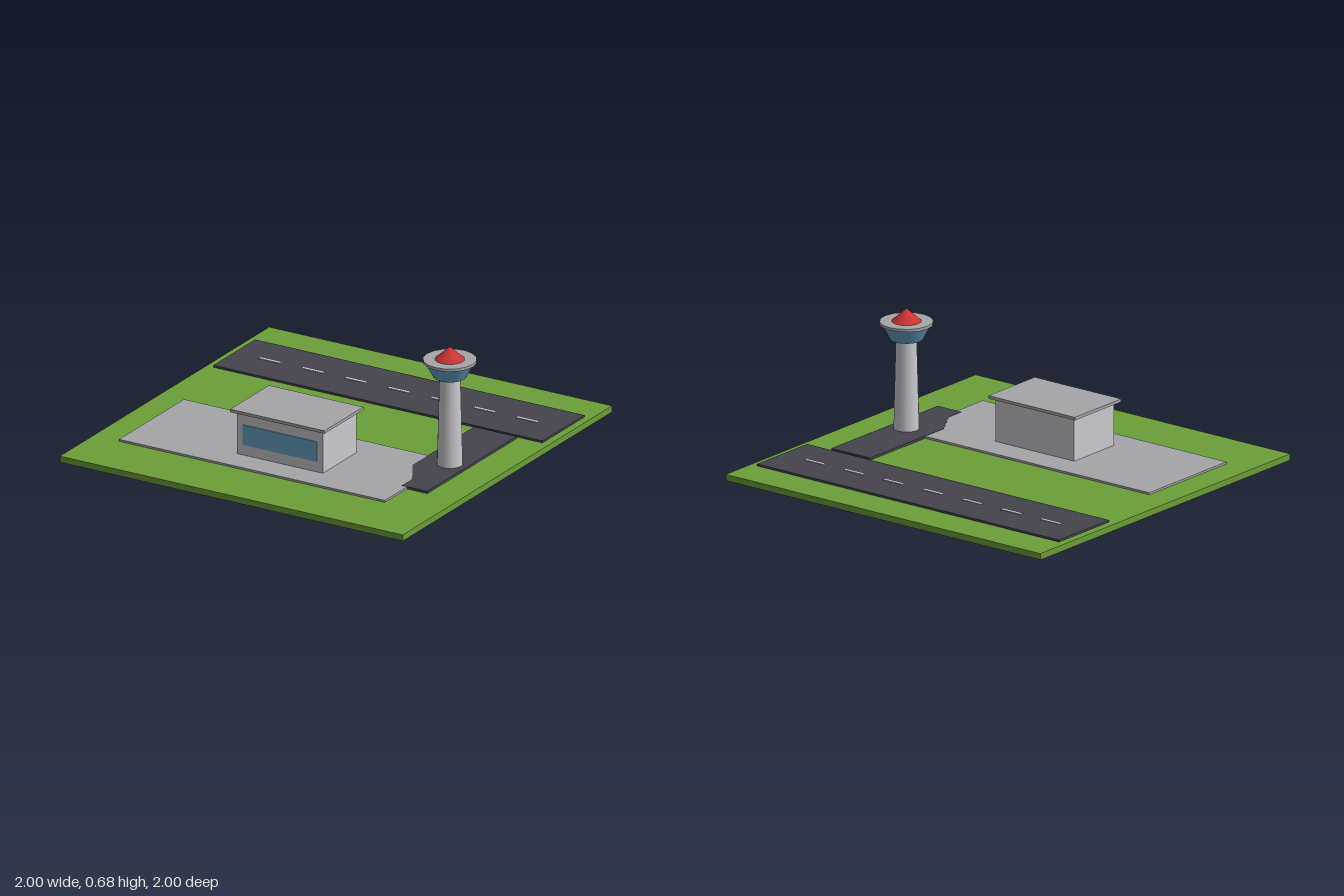
import * as THREE from 'three';

const mat = (name, color, extra = {}) => {
  const m = new THREE.MeshStandardMaterial({ color, ...extra });
  m.name = name;
  return m;
};

export function createModel() {
  const grass = mat('grass green', 0x6c9f38);
  const asphalt = mat('asphalt', 0x45444d);
  const concrete = mat('concrete grey', 0xa6a6a9);
  const wall = mat('wall light grey', 0xcbcbd0);
  const paint = mat('paint white', 0xd8d8da);
  const glass = mat('glass blue', 0x69a6c8);
  const red = mat('roof red', 0xcc3333);

  const airfield = new THREE.Group();
  airfield.name = 'airfield';
  const add = (parent, name, geometry, material, x = 0, y = 0, z = 0) => {
    const mesh = new THREE.Mesh(geometry, material);
    mesh.name = name;
    mesh.position.set(x, y, z);
    parent.add(mesh);
    return mesh;
  };
  // Box given by its x, y and z ranges
  const box = (parent, name, material, [x0, x1], [y0, y1], [z0, z1]) =>
    add(parent, name, new THREE.BoxGeometry(x1 - x0, y1 - y0, z1 - z0), material,
      (x0 + x1) / 2, (y0 + y1) / 2, (z0 + z1) / 2);

  // Ground and paving
  const ground = 0.033, paved = 0.044;
  box(airfield, 'ground', grass, [-1, 1], [0, ground], [-1, 1]);
  box(airfield, 'runway', asphalt, [-0.96, 0.96], [ground, paved], [-0.8, -0.4]);
  box(airfield, 'apron', concrete, [-0.85, 0.7], [ground, paved], [0.06, 0.68]);

  // Taxiway, its corner cut back where it meets the apron
  const outline = new THREE.Shape([
    [0.575, -0.38], [0.82, -0.38], [0.82, 0.47], [0.67, 0.47], [0.67, 0.37], [0.575, 0.21],
  ].map(([x, z]) => new THREE.Vector2(x, -z)));
  const taxiway = add(airfield, 'taxiway',
    new THREE.ExtrudeGeometry(outline, { depth: 0.0125, bevelEnabled: false }), asphalt, 0, ground, 0);
  taxiway.rotation.x = -Math.PI / 2;

  // Runway centre line
  for (let i = -3; i <= 3; i++) {
    const x = i * 0.25;
    box(airfield, 'runwayDash', paint, [x - 0.0625, x + 0.0625], [paved, 0.048], [-0.61, -0.59]);
  }

  // Terminal
  const terminal = new THREE.Group();
  terminal.name = 'terminal';
  airfield.add(terminal);
  box(terminal, 'terminalWalls', wall, [-0.25, 0.25], [paved, 0.27], [0.215, 0.535]);
  box(terminal, 'terminalRoof', concrete, [-0.275, 0.275], [0.27, 0.286], [0.19, 0.56]);
  box(terminal, 'terminalWindow', glass, [-0.215, 0.215], [0.1, 0.207], [0.535, 0.54]);

  // Control tower
  const tower = new THREE.Group();
  tower.name = 'controlTower';
  tower.position.set(0.725, 0, 0.1);
  airfield.add(tower);
  const round = (name, material, top, bottom, y0, y1, sides) =>
    add(tower, name, new THREE.CylinderGeometry(top, bottom, y1 - y0, sides), material, 0, (y0 + y1) / 2, 0);
  round('towerShaft', wall, 0.053, 0.065, paved, 0.515, 16);
  round('towerCab', glass, 0.125, 0.083, 0.515, 0.595, 16);
  round('towerCabRoof', concrete, 0.135, 0.135, 0.593, 0.608, 16);
  round('towerCone', red, 0, 0.075, 0.608, 0.675, 16);

  return airfield;
}
